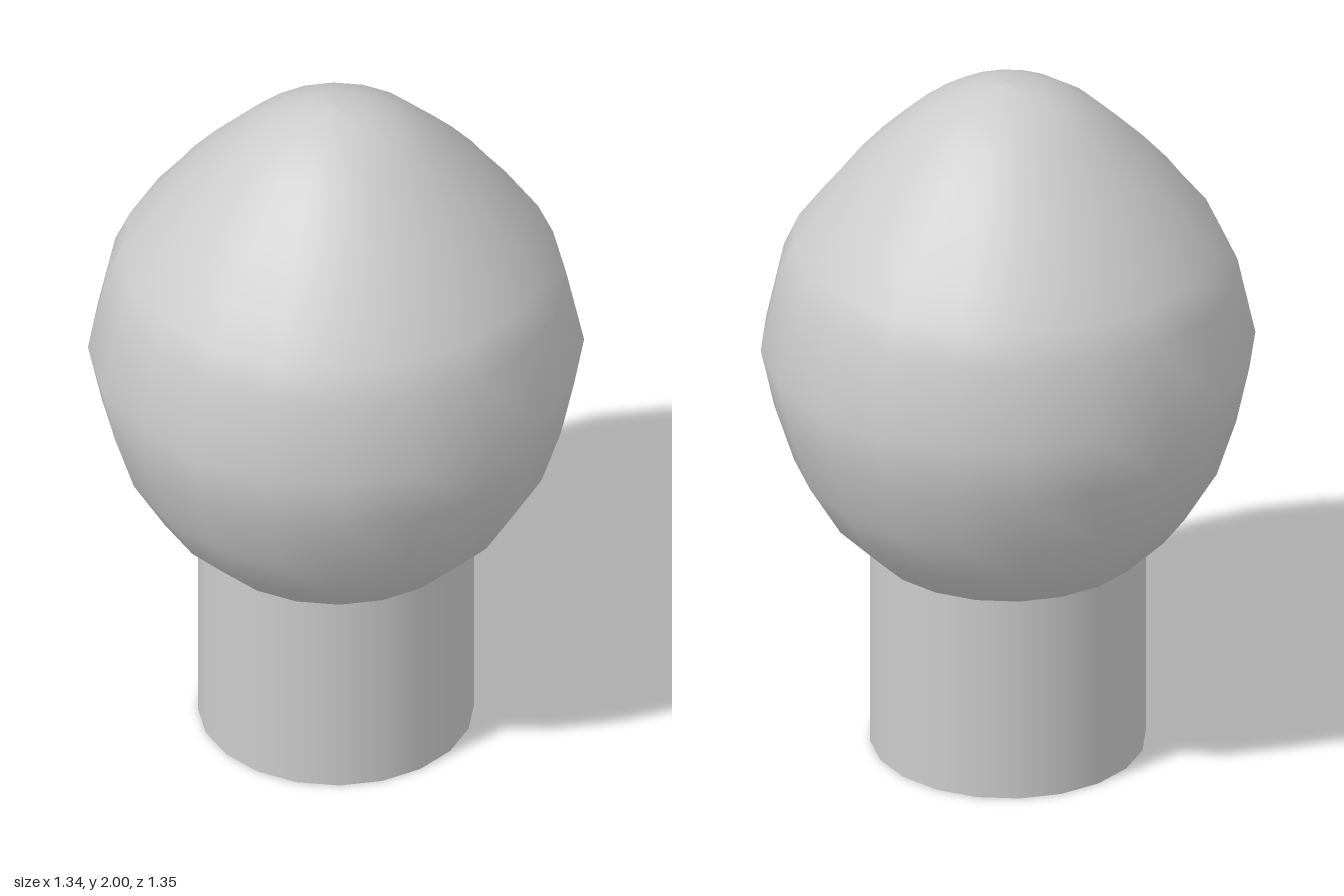
import * as THREE from 'three';

const SIDES = 20;
const AXIS_X = -0.01;

// Smooth crown: radius and height pairs from the underside to the tip
const CROWN = [
  [0, 0.605], [0.38, 0.605], [0.495, 0.72], [0.585, 0.87], [0.64, 1.04], [0.677, 1.21],
  [0.628, 1.435], [0.585, 1.53], [0.51, 1.625], [0.47, 1.68], [0.4, 1.76], [0.33, 1.83],
  [0.255, 1.9], [0.18, 1.95], [0.09, 1.99], [0, 2],
];

export function createModel() {
  const model = new THREE.Group();
  model.name = 'tree';
  const material = new THREE.MeshStandardMaterial({ color: 0xcccccc });

  // Trunk
  const trunk = new THREE.Mesh(new THREE.CylinderGeometry(0.377, 0.377, 0.605, SIDES), material);
  trunk.name = 'trunk';
  trunk.position.set(AXIS_X, 0.3025, 0);

  // Crown, slightly flattened at its right-hand edge
  const points = CROWN.map(([r, y]) => new THREE.Vector2(r, y));
  const geometry = new THREE.LatheGeometry(points.slice(1), SIDES);
  const position = geometry.attributes.position;
  for (let i = 0; i < position.count; i++) {
    position.setX(i, Math.max(position.getX(i), -0.66));
  }
  const crown = new THREE.Mesh(geometry, material);
  crown.name = 'crown';
  crown.position.x = AXIS_X;

  // Flat underside of the crown
  const underside = new THREE.Mesh(new THREE.CircleGeometry(CROWN[1][0], SIDES), material);
  underside.name = 'crownUnderside';
  underside.rotation.x = Math.PI / 2;
  underside.position.set(AXIS_X, CROWN[1][1], 0);

  model.add(trunk, crown, underside);
  return model;
}
